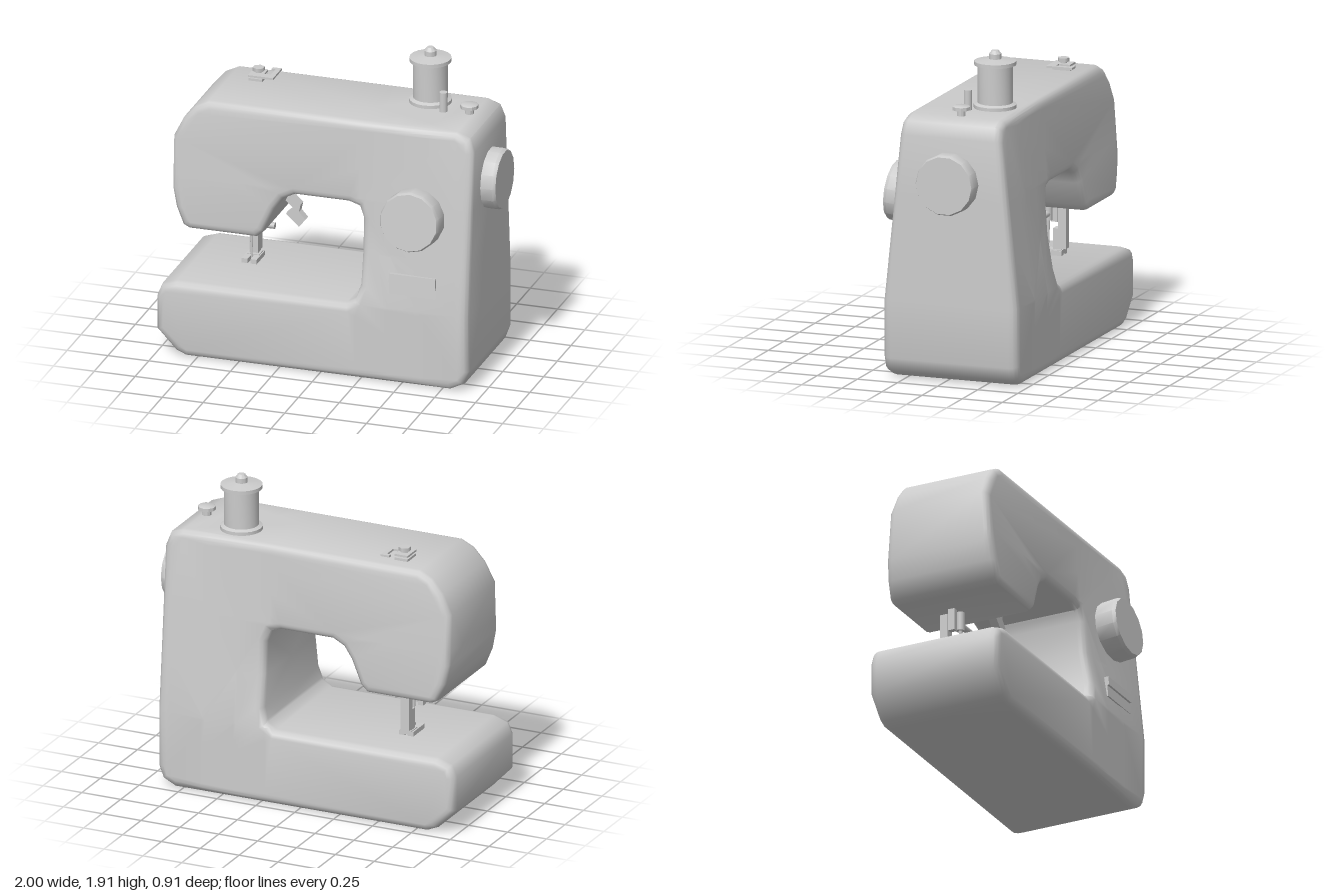
import * as THREE from 'three';
import { toCreasedNormals } from 'three/addons/utils/BufferGeometryUtils.js';

const grey = new THREE.MeshStandardMaterial({ color: 0xcccccc });
const { lerp, clamp } = THREE.MathUtils;

function add(parent, name, geo, x = 0, y = 0, z = 0) {
  const mesh = new THREE.Mesh(geo, grey);
  mesh.name = name;
  mesh.position.set(x, y, z);
  parent.add(mesh);
  return mesh;
}

// box given by its minimum and maximum corners
function box(parent, name, a, b) {
  const s = b.map((v, i) => v - a[i]);
  return add(parent, name, new THREE.BoxGeometry(...s), ...a.map((v, i) => v + s[i] / 2));
}

const shapeOf = pts => new THREE.Shape(pts.map(p => new THREE.Vector2(...p)));

function lathe(pts, sides) {
  const geo = new THREE.LatheGeometry(pts.map(p => new THREE.Vector2(...p)), sides);
  return toCreasedNormals(geo, 0.6);
}

// cut triangles along an axis plane so that the taper bends cleanly there
function slice(tris, axis, v) {
  const out = [];
  for (const t of tris) {
    for (const side of [1, -1]) {
      const poly = [];
      t.forEach((p, i) => {
        const q = t[(i + 1) % 3];
        const dp = (p[axis] - v) * side, dq = (q[axis] - v) * side;
        if (dp >= 0) poly.push(p);
        if (dp * dq < 0) poly.push(p.clone().lerp(q, dp / (dp - dq)));
      });
      if (!poly.some(p => (p[axis] - v) * side > 1e-7)) continue;
      for (let i = 1; i < poly.length - 1; i++) out.push([poly[0], poly[i], poly[i + 1]]);
    }
  }
  return out;
}

// front and back faces: the column tapers evenly, the head is a little slimmer
function taper(p) {
  const up = clamp((p.y - 0.47) / 1.1, 0, 1);
  const low = clamp((p.y - 0.47) / 0.31, 0, 1);
  const high = clamp((p.y - 0.78) / 0.79, 0, 1);
  const k = clamp((p.x - 0.22) / 0.4, 0, 1);
  const front = lerp(lerp(lerp(0.38, 0.315, low), 0.265, high), lerp(0.38, 0.265, up), k);
  const back = lerp(lerp(lerp(-0.455, -0.4, low), -0.345, high), lerp(-0.455, -0.345, up), k);
  p.z = lerp(back, front, p.z);
}

function bodyGeometry() {
  const outline = [
    [-1, 0.15], [-0.88, 0.025], [-0.82, 0], [0.8, 0], [0.88, 0.04], [0.91, 0.12],
    [0.91, 1.46], [0.88, 1.54], [0.8, 1.57], [-0.72, 1.57], [-0.8, 1.53], [-0.87, 1.45],
    [-0.93, 1.33], [-0.93, 1.02], [-0.905, 0.9], [-0.86, 0.795], [-0.82, 0.775],
    [-0.41, 0.775], [-0.365, 0.815], [-0.3, 0.96], [-0.25, 1.03], [-0.18, 1.065],
    [0.15, 1.065], [0.215, 1.045], [0.24, 0.98], [0.24, 0.58], [0.215, 0.495],
    [0.16, 0.46], [-0.88, 0.46], [-0.97, 0.43], [-1, 0.36],
  ];
  const bevel = 0.06;
  const geo = new THREE.ExtrudeGeometry(shapeOf(outline), {
    depth: 1 - 2 * bevel, bevelThickness: bevel, bevelSize: 0.045, bevelOffset: -0.045, bevelSegments: 3,
  }).translate(0, 0, bevel);
  const flat = geo.index ? geo.toNonIndexed() : geo;
  const pos = flat.attributes.position;
  let tris = [];
  for (let i = 0; i < pos.count; i += 3) {
    tris.push([0, 1, 2].map(j => new THREE.Vector3().fromBufferAttribute(pos, i + j)));
  }
  for (const y of [0.47, 0.78, 1.1]) tris = slice(tris, 'y', y);
  for (const x of [0.22, 0.42, 0.62]) tris = slice(tris, 'x', x);
  const points = tris.flat().map(p => p.clone());
  points.forEach(taper);
  return toCreasedNormals(new THREE.BufferGeometry().setFromPoints(points), 0.9);
}

export function createModel() {
  const model = new THREE.Group();
  model.name = 'sewingMachine';

  add(model, 'body', bodyGeometry());

  // hand wheel and stitch dial
  const knob = (r, h) => lathe([[0, 0], [r * 0.97, 0], [r, 0.015], [r, h - 0.02], [r * 0.95, h], [0, h]], 14);
  add(model, 'handWheel', knob(0.182, 0.12), 0.88, 1.195, -0.037).rotation.z = -Math.PI / 2;
  add(model, 'stitchDial', knob(0.182, 0.17), 0.57, 1.03, 0.27).rotation.x = Math.PI / 2 - 0.1;

  // reverse lever on the front of the column
  const reverse = new THREE.Group();
  reverse.name = 'reverseLever';
  reverse.position.set(0.57, 0.625, 0.36);
  reverse.rotation.x = -0.1;
  model.add(reverse);
  box(reverse, 'leverGrip', [-0.142, 0.005, -0.03], [0.142, 0.06, 0.02]);
  box(reverse, 'leverPlate', [-0.142, -0.065, -0.03], [0.142, 0.005, 0.008]);

  // spool on its pin
  add(model, 'spool', lathe([
    [0, 0], [0.125, 0], [0.125, 0.025], [0.103, 0.035], [0.103, 0.255],
    [0.123, 0.26], [0.123, 0.282], [0.036, 0.295], [0.036, 0.325], [0.02, 0.345], [0, 0.347],
  ], 20), 0.502, 1.565, -0.165);

  // bobbin winder
  add(model, 'winderPin', new THREE.CylinderGeometry(0.024, 0.024, 0.14, 12), 0.622, 1.62, -0.042);
  add(model, 'winderStop', lathe([
    [0, 0], [0.026, 0], [0.026, 0.05], [0.053, 0.055], [0.053, 0.075], [0.045, 0.08], [0, 0.08],
  ], 10), 0.775, 1.55, -0.06);

  // thread guide on top of the head
  const guide = new THREE.Group();
  guide.name = 'threadGuide';
  model.add(guide);
  box(guide, 'guideBase', [-0.6, 1.55, -0.235], [-0.515, 1.585, -0.125]);
  const hook = new THREE.ExtrudeGeometry(shapeOf([
    [-0.6, 0.115], [-0.445, 0.115], [-0.445, 0.275], [-0.5, 0.275], [-0.5, 0.25],
    [-0.475, 0.25], [-0.475, 0.165], [-0.515, 0.165], [-0.515, 0.235], [-0.6, 0.235],
  ]), { depth: 0.012, bevelEnabled: false }).rotateX(-Math.PI / 2);
  add(guide, 'guideHook', hook, 0, 1.595, 0);
  add(guide, 'guideStem', new THREE.CylinderGeometry(0.02, 0.02, 0.05, 8), -0.555, 1.6, -0.18);
  add(guide, 'guideScrew', new THREE.CylinderGeometry(0.036, 0.036, 0.022, 6), -0.555, 1.628, -0.18);

  // presser foot lever under the arm
  const lever = new THREE.ExtrudeGeometry(shapeOf([
    [-0.34, 0.93], [-0.275, 0.87], [-0.32, 0.83], [-0.24, 0.755],
    [-0.2, 0.805], [-0.24, 0.85], [-0.23, 0.895], [-0.3, 0.96],
  ]), { depth: 0.05, bevelEnabled: false });
  add(model, 'footLever', lever, 0, 0, -0.025);

  // presser foot, needle and clamp
  const foot = new THREE.Group();
  foot.name = 'presserAssembly';
  model.add(foot);
  box(foot, 'presserBar', [-0.592, 0.5, -0.2], [-0.538, 0.8, -0.15]);
  box(foot, 'footShank', [-0.592, 0.48, -0.17], [-0.538, 0.62, -0.12]);
  for (const x of [-0.61, -0.555]) {
    box(foot, 'footToe', [x, 0.462, -0.18], [x + 0.038, 0.49, -0.03]);
  }
  box(foot, 'footBridge', [-0.6, 0.47, -0.18], [-0.525, 0.495, -0.1]);
  add(foot, 'needleBar', new THREE.CylinderGeometry(0.025, 0.025, 0.14, 10), -0.565, 0.73, -0.08);
  add(foot, 'needle', new THREE.CylinderGeometry(0.012, 0.004, 0.2, 8), -0.565, 0.57, -0.08);
  const clampScrew = add(foot, 'needleClamp', new THREE.CylinderGeometry(0.019, 0.019, 0.13, 10), -0.486, 0.698, -0.08);
  clampScrew.rotation.z = Math.PI / 2;
  box(foot, 'threadCutter', [-0.645, 0.64, -0.12], [-0.612, 0.8, -0.08]);

  return model;
}
